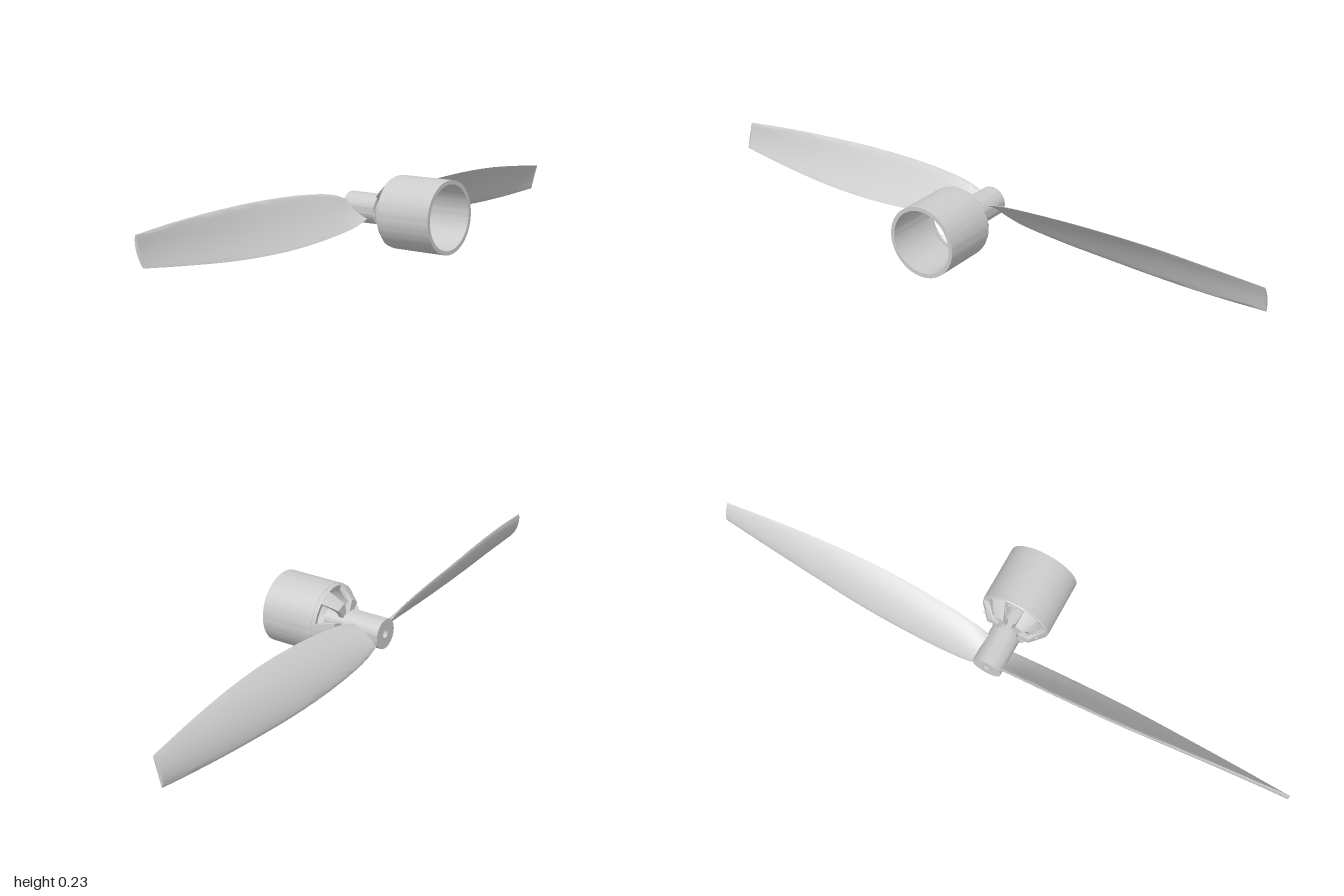
import * as THREE from 'three';
import { toCreasedNormals } from 'three/addons/utils/BufferGeometryUtils.js';

const material = new THREE.MeshStandardMaterial({ color: 0xcccccc, side: THREE.DoubleSide });
const AXIS_Y = 0.117;

function addMesh(parent, name, geometry) {
  const mesh = new THREE.Mesh(geometry, material);
  mesh.name = name;
  parent.add(mesh);
  return mesh;
}

// Closed profile of [radius, z] pairs turned about the z axis
function turned(profile, segments = 64) {
  const points = [...profile, profile[0]].map(([r, z]) => new THREE.Vector2(r, z));
  const geometry = new THREE.LatheGeometry(points, segments).rotateX(Math.PI / 2);
  return toCreasedNormals(geometry, 0.6);
}

// Tube between two z positions, with its ends closed
const ring = (inner, outer, z0, z1, segments) =>
  turned([[outer, z0], [outer, z1], [inner, z1], [inner, z0]], segments);

// Bent arm of the bell: widens towards the rim and sweeps near the hub
function spokeGeometry() {
  const profile = [[0.022, -0.05], [0.05, -0.05], [0.075, -0.05], [0.115, -0.004],
    [0.115, 0.004], [0.1, 0.004], [0.066, -0.034], [0.045, -0.034], [0.022, -0.034]];
  const shape = new THREE.Shape(profile.map(([r, z]) => new THREE.Vector2(r, z)));
  const geometry = new THREE.ExtrudeGeometry(shape, { depth: 1, bevelEnabled: false, steps: 4 });
  const p = geometry.attributes.position;
  for (let i = 0; i < p.count; i++) {
    const r = p.getX(i), z = p.getY(i), across = 2 * p.getZ(i) - 1;
    const halfWidth = THREE.MathUtils.mapLinear(r, 0.022, 0.115, 0.007, 0.026);
    const sweep = 0.006 * Math.sin(Math.PI * (r - 0.022) / 0.093);
    const angle = (across * halfWidth + sweep) / r;
    p.setXYZ(i, r * Math.cos(angle), r * Math.sin(angle), z);
  }
  return toCreasedNormals(geometry, 0.5);
}

// Twisted blade: airfoil sections spanned between its two edge curves
function bladeGeometry() {
  const curve = (pts) => new THREE.CatmullRomCurve3(pts.map((p) => new THREE.Vector3(...p)));
  // x, y from the axis, z
  const trailing = curve([[0.02, 0.022, -0.1], [0.1, 0.042, -0.09], [0.25, 0.058, -0.08],
    [0.45, 0.066, -0.075], [0.65, 0.061, -0.081], [0.83, 0.046, -0.091], [1, 0.028, -0.104]]);
  const leading = curve([[0.02, -0.02, -0.184], [0.1, -0.048, -0.187], [0.25, -0.067, -0.186],
    [0.45, -0.076, -0.178], [0.65, -0.077, -0.161], [0.83, -0.072, -0.145], [1, -0.061, -0.13]]);
  const stations = 40, half = 14, count = half * 2;
  const positions = [], index = [];
  for (let i = 0; i <= stations; i++) {
    const t = trailing.getPoint(i / stations), l = leading.getPoint(i / stations);
    const dy = l.y - t.y, dz = l.z - t.z;
    for (let k = 0; k < count; k++) {
      const a = Math.PI * k / half;
      const s = (1 - Math.cos(a)) / 2;
      // Thickness is fullest near the rounded leading edge
      const thickness = 0.065 * Math.sin(a) * (0.25 + 0.75 * Math.sqrt(s));
      const offset = 0.3 * s * (1 - s) - thickness;
      positions.push(t.x, t.y + dy * s - dz * offset, t.z + dz * s + dy * offset);
    }
  }
  for (let i = 0; i < stations; i++) {
    for (let k = 0; k < count; k++) {
      const n = (k + 1) % count;
      const a = i * count + k, b = i * count + n;
      index.push(a, b, b + count, a, b + count, a + count);
    }
  }
  const tip = stations * count;
  for (let k = 1; k < count - 1; k++) index.push(tip, tip + k, tip + k + 1);
  const geometry = new THREE.BufferGeometry();
  geometry.setAttribute('position', new THREE.Float32BufferAttribute(positions, 3));
  geometry.setIndex(index);
  return toCreasedNormals(geometry, 0.8);
}

export function createModel() {
  const model = new THREE.Group();
  model.name = 'motorWithPropeller';

  // Motor bell, open at the front
  const bell = new THREE.Group();
  bell.name = 'motorBell';
  bell.position.y = AXIS_Y;
  model.add(bell);
  addMesh(bell, 'bellWall', ring(0.104, 0.117, 0.008, 0.193, 96));
  addMesh(bell, 'bellRim', turned([[0.113, -0.004], [0.116, 0], [0.116, 0.01],
    [0.098, 0.01], [0.098, -0.001]], 96));
  addMesh(bell, 'bellHub', ring(0.014, 0.036, -0.051, 0.015));
  const spoke = spokeGeometry();
  for (let i = 0; i < 6; i++) {
    addMesh(bell, 'spoke', spoke).rotation.z = i * Math.PI / 3;
  }
  // Set screws in two opposite spokes
  for (const side of [1, -1]) {
    const screw = addMesh(bell, 'setScrew', new THREE.CylinderGeometry(0.007, 0.007, 0.03, 20));
    screw.rotation.z = Math.PI / 2;
    screw.position.set(side * 0.081, 0, -0.027);
  }

  // Shaft and collar
  addMesh(bell, 'shaft', ring(0.006, 0.015, -0.16, 0.025, 32));
  addMesh(bell, 'collar', ring(0.012, 0.036, -0.068, -0.05));

  // Propeller
  const propeller = new THREE.Group();
  propeller.name = 'propeller';
  propeller.position.y = AXIS_Y;
  model.add(propeller);
  addMesh(propeller, 'propellerHub', ring(0.013, 0.049, -0.191, -0.066));
  const blade = bladeGeometry();
  for (let i = 0; i < 2; i++) {
    addMesh(propeller, 'blade', blade).rotation.z = i * Math.PI;
  }
  return model;
}
